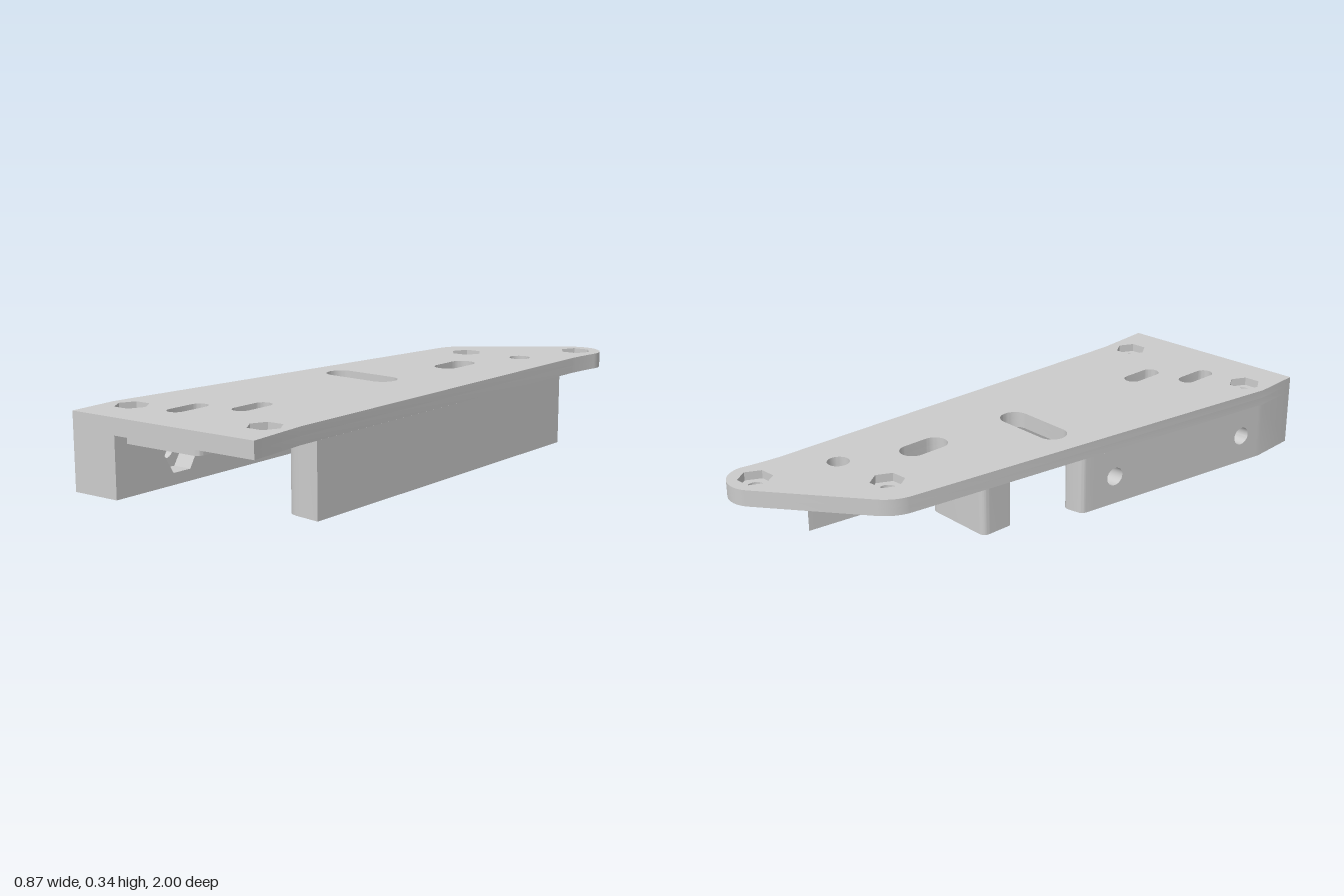
import * as THREE from 'three';
import { toCreasedNormals } from 'three/addons/utils/BufferGeometryUtils.js';

const TOP = 0.337, STEP = 0.308, UNDER = 0.28;
const LEAN = 0.078; // sideways drift of the slanted features per unit of depth

export function createModel() {
  const group = new THREE.Group();
  const material = new THREE.MeshStandardMaterial({ color: 0xcccccc });

  const add = (name, geometry) => {
    const mesh = new THREE.Mesh(toCreasedNormals(geometry, 0.5), material);
    mesh.name = name;
    group.add(mesh);
  };

  // Plan outlines are drawn as (x, -z) and raised from y0 to y1
  const raise = (shape, y0, y1) => {
    const g = new THREE.ExtrudeGeometry(shape, { depth: y1 - y0, bevelEnabled: false, curveSegments: 12 });
    return g.rotateX(-Math.PI / 2).translate(0, y0, 0);
  };
  const poly = (pts) => new THREE.Shape(pts.map(([x, z]) => new THREE.Vector2(x, -z)));
  const circle = (cx, cy, r) => new THREE.Path().absarc(cx, cy, r, 0, Math.PI * 2, true);
  const hex = (cx, cy, r) => new THREE.Path(Array.from({ length: 6 }, (_, i) =>
    new THREE.Vector2(cx + r * Math.cos(-i * Math.PI / 3), cy + r * Math.sin(-i * Math.PI / 3))));
  // Slot: centre, half distance between end centres, end radius, direction
  const slot = ([x, z, half, r, angle]) => {
    const dx = half * Math.cos(angle), dy = half * Math.sin(angle), q = Math.PI / 2;
    return new THREE.Path()
      .absarc(x + dx, -z + dy, r, angle + q, angle - q, true)
      .absarc(x - dx, -z - dy, r, angle - q, angle - 3 * q, true)
      .closePath();
  };

  const along = Math.PI / 2 - LEAN, across = -LEAN;
  const padSlots = [[-0.17, 0.765, 0.048, 0.031, along], [-0.015, 0.635, 0.047, 0.032, along]];
  const slots = [...padSlots, [0.115, -0.375, 0.046, 0.046, along], [-0.035, 0.006, 0.094, 0.052, across]];
  const nuts = [[-0.345, 0.832], [0.195, 0.832], [0.01, -0.635], [0.337, -0.908]];
  const plain = [0.235, -0.647];

  // Top plate in two layers: round bolt holes below, hexagonal nut recesses above
  const plate = () => {
    const s = new THREE.Shape();
    s.moveTo(-0.437, -1).lineTo(0.29, -1).lineTo(0.285, -0.78).lineTo(0.405, 0.75);
    s.quadraticCurveTo(0.418, 0.84, 0.4325, 0.892);
    s.absarc(0.335, 0.902, 0.098, -0.1, 2.15, false);
    s.lineTo(-0.07, 0.75).quadraticCurveTo(-0.118, 0.715, -0.13, 0.66);
    s.lineTo(-0.437, -0.82);
    s.holes.push(...slots.map(slot), circle(plain[0], -plain[1], 0.038));
    return s;
  };
  const lower = plate(), upper = plate();
  for (const [x, z] of nuts) {
    lower.holes.push(circle(x, -z, 0.028));
    upper.holes.push(hex(x, -z, 0.058));
  }
  add('plateLower', raise(lower, UNDER, STEP));
  add('plateUpper', raise(upper, STEP, TOP));

  // Thin ring bosses under the plate holes
  for (const [x, z, r] of [...nuts.slice(1).map((n) => [...n, 0.028]), [...plain, 0.038]]) {
    const ring = new THREE.Shape().absarc(x, -z, 0.053, 0, Math.PI * 2, false);
    ring.holes.push(circle(x, -z, r));
    add('holeBoss', raise(ring, UNDER - 0.005, UNDER));
  }

  // Slotted pad under the front of the plate
  const pad = new THREE.Shape();
  pad.moveTo(-0.27, -0.95).lineTo(0.01, -0.95).quadraticCurveTo(0.036, -0.95, 0.038, -0.925);
  pad.lineTo(0.095, -0.15).lineTo(-0.2, -0.15);
  pad.holes.push(...padSlots.map(slot));
  add('slottedPad', raise(pad, 0.245, UNDER));

  // Tapering wall on the left side
  const wedge = new THREE.Shape();
  wedge.moveTo(0.291, -0.705).lineTo(0.398, 0.66).lineTo(0.152, -0.62);
  wedge.bezierCurveTo(0.152, -0.69, 0.19, -0.69, 0.225, -0.695);
  wedge.lineTo(0.291, -0.705);
  add('taperedWall', raise(wedge, 0.028, UNDER));

  // Clamp wall on the right side: front, middle and rounded rear sections
  const WALL_LOW = 0.075;
  const inner = (z) => -0.26 + 0.08 * (1 - z);
  const outer = (z) => -0.437 + Math.max(0, 0.82 - z) * 0.2074;
  const Z0 = 0.05, Z1 = 0.8;
  const front = poly([[-0.437, 1], [-0.26, 1], [inner(Z1), Z1], [outer(Z1), Z1], [-0.437, 0.82]]);
  front.holes.push(circle(-0.345, -0.832, 0.028));
  add('clampWallFront', raise(front, WALL_LOW, UNDER));

  const rear = new THREE.Shape();
  rear.moveTo(outer(Z0), -Z0).lineTo(inner(Z0), -Z0).lineTo(inner(0.03), -0.03);
  rear.quadraticCurveTo(inner(0), 0.005, inner(0) - 0.03, 0.005);
  rear.lineTo(outer(0) + 0.02, 0).quadraticCurveTo(outer(0), 0, outer(0.02), -0.02);
  add('clampWallRear', raise(rear, WALL_LOW, UNDER));

  // Middle section is stretched between the inner and outer faces
  const clampLayer = (name, t0, t1, hole, r) => {
    const s = new THREE.Shape();
    s.moveTo(Z0, WALL_LOW).lineTo(Z1, WALL_LOW).lineTo(Z1, UNDER).lineTo(Z0, UNDER);
    for (const z of [0.14, 0.725]) s.holes.push(hole(z, 0.178, r));
    const g = new THREE.ExtrudeGeometry(s, { depth: t1 - t0, bevelEnabled: false, curveSegments: 12 });
    const p = g.attributes.position;
    for (let i = 0; i < p.count; i++) {
      const z = p.getX(i), t = t0 + p.getZ(i);
      p.setXYZ(i, THREE.MathUtils.lerp(inner(z), outer(z), t), p.getY(i), z);
    }
    add(name, g);
  };
  clampLayer('clampWallNutPockets', 0, 0.4, hex, 0.073);
  clampLayer('clampWallBoltHoles', 0.4, 1, circle, 0.033);

  // Hanging stop block, turned square to the slanted edge
  const w = 0.14, d = 0.061, r = 0.028;
  const block = new THREE.Shape();
  block.moveTo(-w, -d).lineTo(w - r, -d).quadraticCurveTo(w, -d, w, -d + r);
  block.lineTo(w, d - r).quadraticCurveTo(w, d, w - r, d);
  block.lineTo(-w + r, d).quadraticCurveTo(-w, d, -w, d - r);
  add('stopBlock', raise(block, 0, UNDER).rotateY(-LEAN).translate(0.1, 0, -0.173));

  return group;
}
